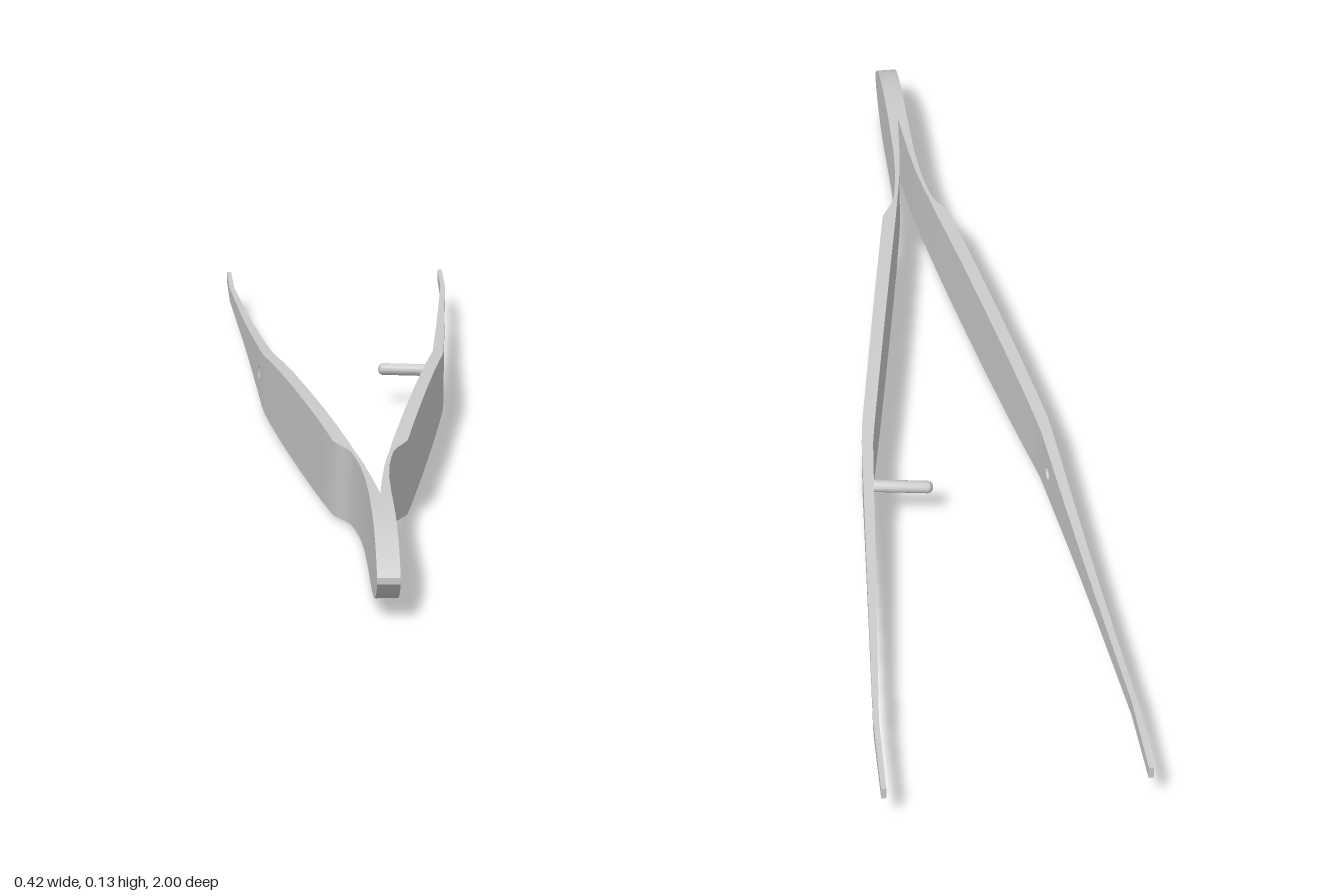
import * as THREE from 'three';
import { toCreasedNormals } from 'three/addons/utils/BufferGeometryUtils.js';

const MID = 0.067; // height of the centre line
const HOLE = { z: -0.25, r: 0.012 };

// Sorted tables of [z, value], read by straight interpolation
const HALF_HEIGHT = [[-1, 0.01], [-0.8, 0.014], [-0.6, 0.02], [-0.5, 0.025], [-0.4, 0.032], [-0.3, 0.04],
  [-0.2, 0.049], [-0.1, 0.057], [0, 0.062], [0.12, 0.065], [0.25, 0.066], [0.35, 0.065], [0.44, 0.062],
  [0.52, 0.06], [0.6, 0.059], [0.68, 0.061], [0.77, 0.0635], [0.85, 0.062], [0.9, 0.056], [0.94, 0.045],
  [0.97, 0.031], [0.99, 0.016], [1, 0.005]];
const OUTER = [[-1, 0.209], [-0.85, 0.206], [-0.2, 0.16], [-0.16, 0.156], [0.44, 0.06], [0.46, 0.051],
  [0.48, 0.041], [0.5, 0.034], [0.53, 0.029], [0.58, 0.023], [0.65, 0.019], [0.75, 0.0175], [1, 0.0175]];
const INNER = [[-1, 0.201], [-0.85, 0.197], [-0.2, 0.141], [-0.16, 0.135], [0.44, 0.036], [0.5, 0.027],
  [0.53, 0.022], [0.58, 0.015], [0.65, 0.008], [0.75, 0], [1, 0]];

function read(table, z) {
  for (let i = 1; i < table.length; i++) {
    const [z0, a] = table[i - 1], [z1, b] = table[i];
    if (z <= z1) return a + ((b - a) * (z - z0)) / (z1 - z0);
  }
  return table[table.length - 1][1];
}

// One arm: bent strip panels between stations, with a round hole; side is +1 or -1
function armGeometry(side) {
  const pos = [];
  const tri = (a, b, c) => {
    for (const p of side > 0 ? [a, b, c] : [a, c, b]) pos.push(p[0] * side, p[1], p[2]);
  };
  const quad = (a, b, c, d) => { tri(a, b, c); tri(a, c, d); };
  const inner = p => [read(INNER, p.x), p.y, p.x];
  const outer = p => [read(OUTER, p.x), p.y, p.x];
  // wall between the inner and outer face along an edge of a counter-clockwise outline
  const wall = (p, q) => quad(inner(p), outer(p), outer(q), inner(q));

  const stations = [...new Set([...HALF_HEIGHT, ...OUTER, ...INNER].map(s => s[0]))].sort((a, b) => a - b);
  for (let i = 1; i < stations.length; i++) {
    const z0 = stations[i - 1], z1 = stations[i];
    const h0 = read(HALF_HEIGHT, z0), h1 = read(HALF_HEIGHT, z1);
    const v = (z, y) => new THREE.Vector2(z, y);
    const outline = [v(z0, MID - h0), v(z1, MID - h1), v(z1, MID + h1), v(z0, MID + h0)];
    const holes = [];
    if (z0 < HOLE.z && z1 > HOLE.z) {
      const ring = [];
      for (let k = 0; k < 20; k++) {
        const t = (-k / 20) * Math.PI * 2;
        ring.push(v(HOLE.z + HOLE.r * Math.cos(t), MID + HOLE.r * Math.sin(t)));
      }
      holes.push(ring);
      ring.forEach((p, k) => wall(p, ring[(k + 1) % ring.length]));
    }
    const points = [...outline, ...holes.flat()];
    for (const face of THREE.ShapeUtils.triangulateShape(outline, holes)) {
      let [a, b, c] = face.map(k => points[k]);
      if (THREE.ShapeUtils.isClockWise([a, b, c])) [b, c] = [c, b];
      if (z0 < 0.75) tri(inner(a), inner(b), inner(c)); // the halves are joined beyond this
      tri(outer(a), outer(c), outer(b));
    }
    wall(outline[0], outline[1]);
    wall(outline[2], outline[3]);
    if (i === 1) wall(outline[3], outline[0]);
    if (i === stations.length - 1) wall(outline[1], outline[2]);
  }
  const geometry = new THREE.BufferGeometry();
  geometry.setAttribute('position', new THREE.Float32BufferAttribute(pos, 3));
  return toCreasedNormals(geometry, 0.5);
}

export function createModel() {
  const model = new THREE.Group();
  model.name = 'tweezers';
  const material = new THREE.MeshStandardMaterial({ color: 0xcccccc });
  const add = (name, geometry) => {
    const mesh = new THREE.Mesh(geometry, material);
    mesh.name = name;
    model.add(mesh);
    return mesh;
  };

  add('leftArm', armGeometry(1));
  add('rightArm', armGeometry(-1));

  // Guide pin seated in the left arm, pointing at the hole in the right one
  const from = new THREE.Vector3(0.153, MID, -0.25), to = new THREE.Vector3(0.048, MID, -0.266);
  const length = from.distanceTo(to);
  const r = 0.0105;
  const profile = [[0, 0], [r, 0], [r, length - 0.008], [r * 0.85, length - 0.004], [r * 0.5, length - 0.001], [0, length]]
    .map(([x, y]) => new THREE.Vector2(x, y));
  const pin = add('guidePin', toCreasedNormals(new THREE.LatheGeometry(profile, 20), 0.6));
  pin.position.copy(from);
  pin.quaternion.setFromUnitVectors(new THREE.Vector3(0, 1, 0), to.clone().sub(from).normalize());

  return model;
}
